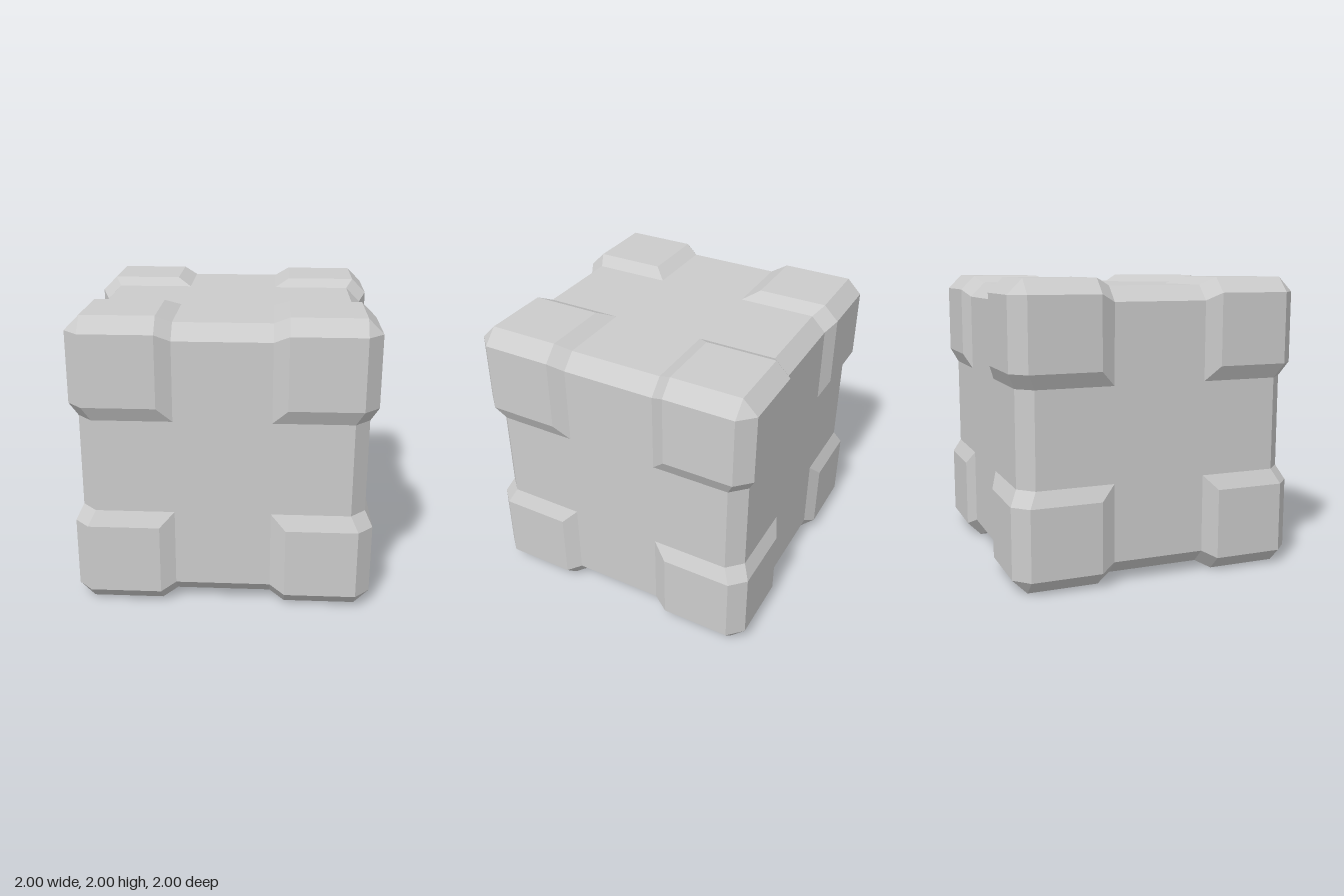
import * as THREE from 'three';

// Grid lines across each face: corner pad, slope, recess, slope, corner pad
const GRID = [-0.9, -0.42, -0.32, 0.32, 0.42, 0.9];
const PAD = 0.42, STEP = 0.05;

// Point on the face of an axis (0 x, 1 y, 2 z); outside the pads everything sinks by STEP
function facePoint(axis, sign, u, v) {
  const raised = Math.abs(u) >= PAD && Math.abs(v) >= PAD;
  const rim = (w) => (!raised && Math.abs(w) === 0.9 ? w - Math.sign(w) * STEP : w);
  const p = new THREE.Vector3();
  p.setComponent(axis, sign * (raised ? 1 : 1 - STEP));
  p.setComponent((axis + 1) % 3, rim(u));
  p.setComponent((axis + 2) % 3, rim(v));
  return p;
}

function crateGeometry() {
  const positions = [];
  // Triangle wound to face away from the centre
  const tri = (a, b, c) => {
    const normal = b.clone().sub(a).cross(c.clone().sub(a));
    const outward = normal.dot(a.clone().add(b).add(c)) > 0;
    for (const p of outward ? [a, b, c] : [a, c, b]) positions.push(p.x, p.y + 1, p.z);
  };
  // Quad split along a-c
  const quad = (a, b, c, d) => { tri(a, b, c); tri(a, c, d); };

  for (let axis = 0; axis < 3; axis++) {
    const b = (axis + 1) % 3, c = (axis + 2) % 3;

    // Two opposite faces with four raised corner pads each
    for (const s of [-1, 1]) {
      for (let i = 0; i < 5; i++) for (let j = 0; j < 5; j++) {
        const at = (m, n) => facePoint(axis, s, GRID[m], GRID[n]);
        const q = [at(i, j), at(i + 1, j), at(i + 1, j + 1), at(i, j + 1)];
        // Mitre the slopes towards the middle of the face
        if ((i - 2) * (j - 2) < 0) q.push(q.shift());
        quad(...q);
      }
    }

    // Four bevelled edges running along this axis
    for (const s of [-1, 1]) for (const t of [-1, 1]) {
      for (let i = 0; i < 5; i++) {
        const onB = (g) => facePoint(b, s, t * 0.9, g);
        const onC = (g) => facePoint(c, t, g, s * 0.9);
        quad(onB(GRID[i]), onB(GRID[i + 1]), onC(GRID[i + 1]), onC(GRID[i]));
      }
    }
  }

  // Cut-off corners
  for (const x of [-1, 1]) for (const y of [-1, 1]) for (const z of [-1, 1]) {
    tri(
      facePoint(0, x, y * 0.9, z * 0.9),
      facePoint(1, y, z * 0.9, x * 0.9),
      facePoint(2, z, x * 0.9, y * 0.9),
    );
  }

  const geometry = new THREE.BufferGeometry();
  geometry.setAttribute('position', new THREE.Float32BufferAttribute(positions, 3));
  geometry.computeVertexNormals();
  return geometry;
}

export function createModel() {
  const group = new THREE.Group();
  group.name = 'crate';
  const material = new THREE.MeshStandardMaterial({ color: 0xcccccc, flatShading: true });
  const body = new THREE.Mesh(crateGeometry(), material);
  body.name = 'crateBody';
  group.add(body);
  return group;
}
